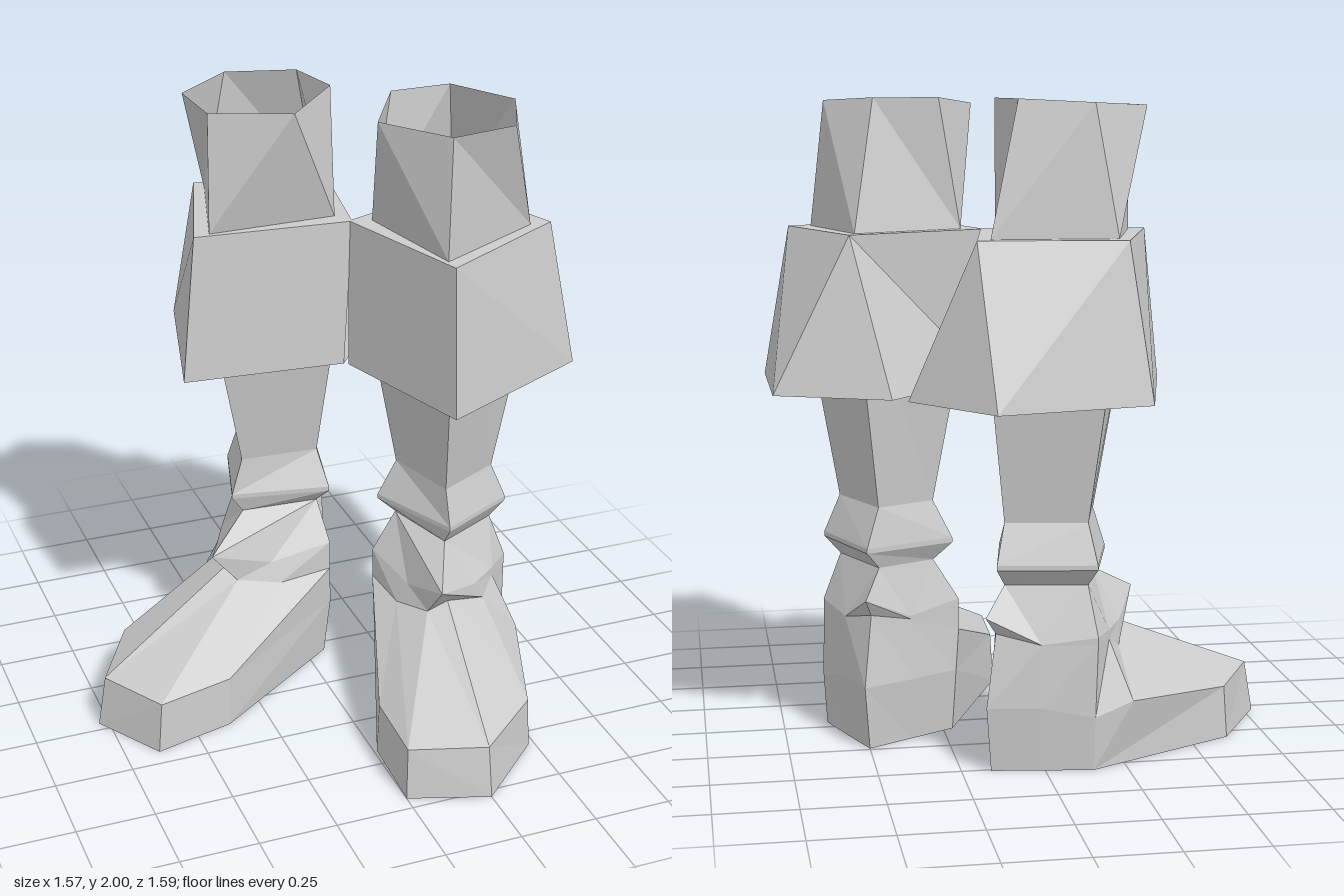
import * as THREE from 'three';

const material = new THREE.MeshStandardMaterial({
  color: 0xcccccc, flatShading: true, side: THREE.DoubleSide,
});

// A ring of [x, z] corners at height y, counter-clockwise seen from above;
// a corner may carry its own height as a third number
const ring = (y, ...corners) => corners.map(([x, z, ownY = y]) => [x, ownY, z]);
const pick = (r, ...indices) => indices.map(i => r[i]);

// Reflection across the upright plane between the two legs
const NX = 0.782, NZ = 0.623, OFFSET = 0.025;
function reflect([x, y, z]) {
  const d = 2 * (x * NX + z * NZ - OFFSET);
  return [x - d * NX, y, z - d * NZ];
}

// Skin a list of rings from top to bottom, leaving out collapsed triangles
function loft(name, rings, mirrored) {
  const positions = [];
  const same = (p, q) => p.every((v, k) => v === q[k]);
  const triangle = (a, b, c) => {
    if (same(a, b) || same(b, c) || same(a, c)) return;
    const corners = mirrored ? [a, c, b].map(reflect) : [a, b, c];
    corners.forEach(p => positions.push(...p));
  };
  for (let r = 0; r + 1 < rings.length; r++) {
    const a = rings[r], b = rings[r + 1];
    for (let i = 0; i < a.length; i++) {
      const j = (i + 1) % a.length;
      triangle(a[i], b[i], b[j]);
      triangle(a[i], b[j], a[j]);
    }
  }
  const geometry = new THREE.BufferGeometry();
  geometry.setAttribute('position', new THREE.Float32BufferAttribute(positions, 3));
  geometry.computeVertexNormals();
  const mesh = new THREE.Mesh(geometry, material);
  mesh.name = name;
  return mesh;
}

function createLeg(name, mirrored) {
  const leg = new THREE.Group();
  leg.name = name;
  const add = (part, ...rings) => leg.add(loft(part, rings, mirrored));

  // Open thigh: six corners at the top, four where it meets the cuff
  const thighTop = ring(1.98, [0.28, 0.3], [0.5, 0.26], [0.595, 0.05, 1.99],
    [0.46, -0.135, 2], [0.26, -0.13, 2], [0.13, 0.085]);
  const thighBase = ring(1.6, [0.27, 0.31], [0.635, 0.11], [0.53, -0.25], [0.19, -0.1]);
  add('thigh', thighTop, pick(thighBase, 0, 1, 1, 2, 3, 3));

  // Flared cuff, open below, with a narrow ledge above
  const cuffTop = ring(1.6, [0.27, 0.365], [0.705, 0.11], [0.55, -0.3], [0.12, -0.12]);
  const cuffBase = ring(1.13, [0.26, 0.42], [0.785, 0.155], [0.785, -0.33],
    [0.445, -0.475], [0.105, -0.08]);
  add('cuff', pick(thighBase, 0, 1, 2, 2, 3), pick(cuffTop, 0, 1, 2, 2, 3), cuffBase);

  // Shin tapering from inside the cuff, and the ridge around the ankle
  const shinBase = ring(0.75, [0.35, 0.16], [0.56, 0.05], [0.46, -0.18], [0.28, -0.09]);
  const ridgeTop = ring(0.63, [0.35, 0.2], [0.61, 0.06], [0.5, -0.22], [0.22, -0.1]);
  const ridgeBase = ridgeTop.map(([x, , z]) => [x, 0.615, z]);
  const ankle = shinBase.map(([x, , z]) => [x, 0.56, z]);
  add('shin', cuffTop, shinBase);
  add('ankleRidge', shinBase, ridgeTop, ridgeBase, ankle);

  // Boot collar pointing forward and back, dipping at the sides
  const tip = [0.27, 0.33, 0.47];
  const collar = ring(0.41, tip, tip, [0.44, 0.21], [0.54, 0.13], [0.615, 0.06],
    [0.56, -0.1, 0.39], [0.51, -0.26, 0.475], [0.36, -0.17, 0.4],
    [0.2, -0.09, 0.43], [0.24, 0.12, 0.4]);
  const instep = ring(0.39, [0.26, 0.24, 0.36], [0.33, 0.24, 0.385],
    [0.48, 0.19, 0.34], [0.54, 0.13, 0.38], [0.615, 0.06], [0.56, -0.1, 0.385],
    [0.49, -0.22, 0.42], [0.36, -0.17], [0.2, -0.09, 0.33], [0.21, 0.1, 0.33]);
  add('bootCollar', pick(ankle, 0, 0, 0, 1, 1, 2, 2, 3, 3, 3), collar, instep);

  // Boot with a sloping instep, a bulging outer side and a flat sole
  const wall = ring(0.165, [0.01, 0.68], [0.25, 0.755], [0.475, 0.56],
    [0.61, 0.18, 0.2], [0.62, 0.05], [0.57, -0.11, 0.2], [0.515, -0.26, 0.2],
    [0.35, -0.18, 0.2], [0.21, -0.1, 0.2], [0.02, 0.42]);
  const heelOuter = [0.61, 0.05];
  const sole = ring(0, [0, 0.7], [0.25, 0.785], [0.48, 0.57], heelOuter, heelOuter,
    [0.555, -0.1], [0.5, -0.24], [0.36, -0.16], [0.22, -0.08], [0.01, 0.43]);
  add('boot', instep, wall, sole);
  add('sole', sole, sole.map(() => [0.3, 0, 0.27]));
  return leg;
}

export function createModel() {
  const model = new THREE.Group();
  model.name = 'bootedLegs';
  model.add(createLeg('leftLeg', false), createLeg('rightLeg', true));
  return model;
}
